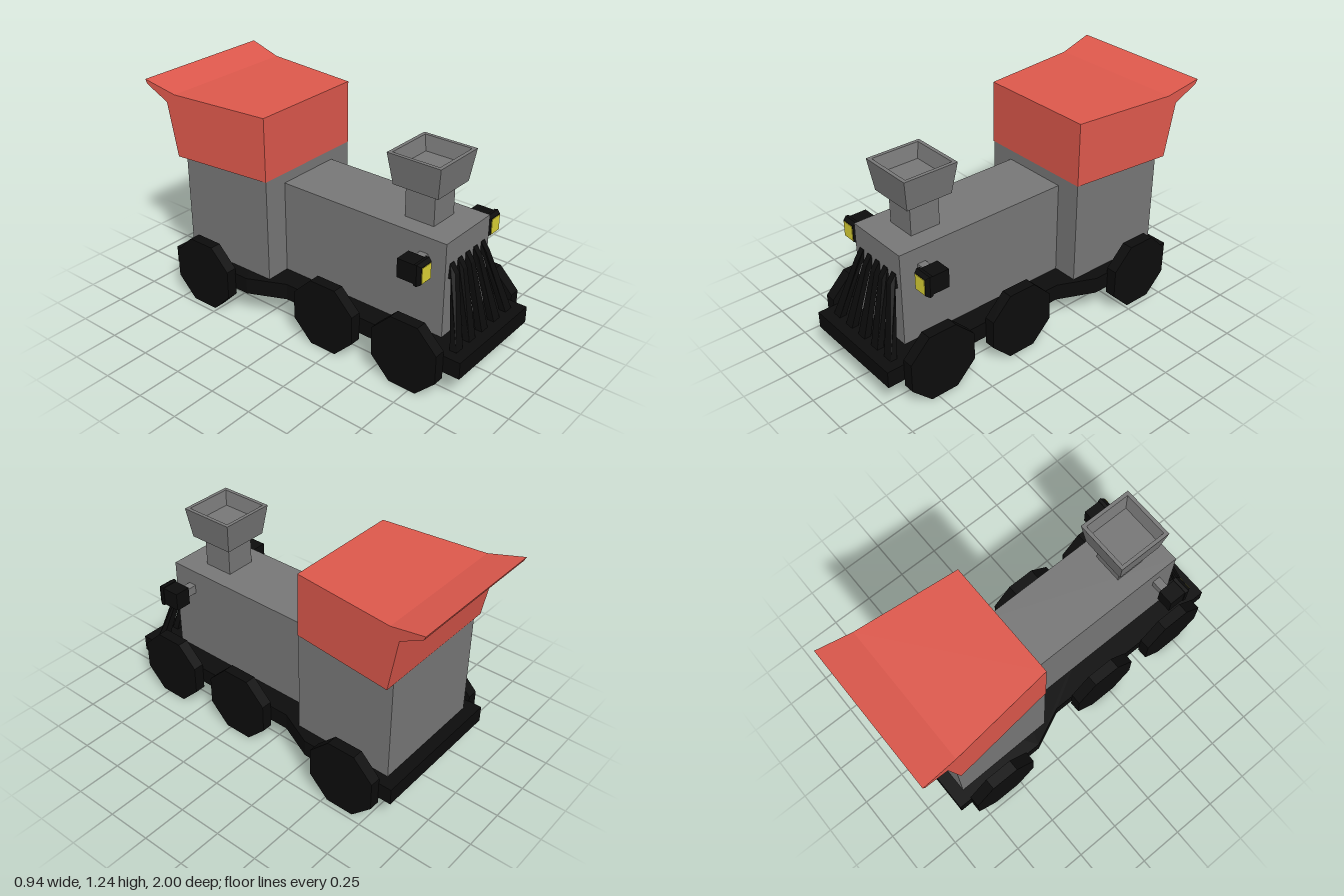
import * as THREE from 'three';

const paint = (color) => new THREE.MeshStandardMaterial({ color, flatShading: true, side: THREE.DoubleSide });

export function createModel() {
  const train = new THREE.Group();
  const grey = paint(0x777777), black = paint(0x0c0c0c), red = paint(0xdd584c), yellow = paint(0xdcd236);

  const add = (name, geometry, material, parent = train) => {
    const mesh = new THREE.Mesh(geometry, material);
    mesh.name = name;
    parent.add(mesh);
    return mesh;
  };
  // Box given by its min and max on each axis
  const box = (x0, x1, y0, y1, z0, z1) => new THREE.BoxGeometry(x1 - x0, y1 - y0, z1 - z0)
    .translate((x0 + x1) / 2, (y0 + y1) / 2, (z0 + z1) / 2);
  const shapeOf = (points) => new THREE.Shape(points.map(([x, y]) => new THREE.Vector2(x, y)));
  // Side profile of [z, y] points; rule(side, y, z) gives the x of each vertex, side being -1 or 1
  const sideProfile = (points, rule) => {
    const g = new THREE.ExtrudeGeometry(shapeOf(points), { depth: 2, bevelEnabled: false })
      .translate(0, 0, -1).rotateY(-Math.PI / 2);
    const p = g.attributes.position;
    for (let i = 0; i < p.count; i++) p.setX(i, rule(Math.sign(p.getX(i)), p.getY(i), p.getZ(i)));
    g.computeVertexNormals();
    return g;
  };
  // Square-sectioned lathe from [half width, y] points
  const squareLathe = (points) => new THREE.LatheGeometry(
    points.map(([r, y]) => new THREE.Vector2(r * Math.SQRT2, y)), 4).rotateY(Math.PI / 4);

  // Chassis plate, widening under the cab
  const halfPlan = [[0.315, -1], [0.315, 0.11], [0.41, 0.32], [0.41, 0.87]];
  const plan = [...halfPlan, ...halfPlan.map(([x, y]) => [-x, y]).reverse()];
  add('chassis', new THREE.ExtrudeGeometry(shapeOf(plan), { depth: 0.095, bevelEnabled: false })
    .rotateX(-Math.PI / 2).translate(0, 0.15, 0), black);

  // Boiler and cab
  add('boiler', box(-0.192, 0.192, 0.24, 0.775, -0.22, 0.81), grey);
  add('cab', sideProfile([[-0.217, 0.24], [-0.217, 0.85], [-0.8, 0.85], [-0.8, 0.24]],
    (s, y, z) => s * (z < -0.5 ? 0.343 : 0.335)), grey);

  // Roof flares out toward its raised rear lip
  add('roof', sideProfile([[-0.215, 0.832], [-0.215, 1.19], [-0.8, 1.19], [-1, 1.237],
    [-0.988, 1.212], [-0.857, 1.137], [-0.803, 0.832]],
    (s, y, z) => s * (0.338 + 0.104 * (-0.215 - z))), red);

  // Chimney with a hollow flared bowl
  add('chimney', squareLathe([[0.087, 0.77], [0.087, 0.93], [0.133, 0.955], [0.157, 1.128],
    [0.137, 1.128], [0.115, 1.05], [0, 1.05]]).translate(0, 0, 0.577), grey);

  // Cowcatcher bars: upright at the top, fanning out below the knee
  const cowcatcher = new THREE.Group();
  cowcatcher.name = 'cowcatcher';
  train.add(cowcatcher);
  const barProfile = [[0.8, 0.655], [0.812, 0.652], [0.845, 0.605], [0.942, 0.24],
    [0.903, 0.24], [0.823, 0.575], [0.8, 0.575]];
  for (let i = -2; i <= 2; i++) {
    add('cowcatcherBar', sideProfile(barProfile, (s, y) => {
      const t = Math.max(0, (0.605 - y) / 0.365);
      return i * (0.069 + 0.046 * t) + s * (0.0165 + 0.0115 * t);
    }), black, cowcatcher);
  }

  for (const side of [-1, 1]) {
    // Eight-sided wheels resting on a flat
    for (const [x, z] of [[0.348, 0.71], [0.348, 0.195], [0.438, -0.6]]) {
      const wheel = new THREE.CylinderGeometry(0.195 / Math.cos(Math.PI / 8),
        0.195 / Math.cos(Math.PI / 8), 0.063, 8).rotateY(Math.PI / 8).rotateZ(Math.PI / 2);
      add('wheel', wheel, black).position.set(side * x, 0.195, z);
    }

    // Headlamp on a bracket, with a bevelled rim around the lens
    const lamp = new THREE.Group();
    lamp.name = 'headlamp';
    lamp.position.set(side * 0.308, 0.66, 0);
    train.add(lamp);
    add('lampBracket', box(-0.025, 0.025, -0.025, 0.025, 0.66, 0.707), grey, lamp)
      .scale.x = 2.8;
    lamp.children[0].position.x = -side * 0.08;
    add('lampHousing', box(-0.046, 0.046, -0.052, 0.052, 0.64, 0.745), black, lamp);
    const rim = squareLathe([[0, 0.74], [0.05, 0.74], [0.052, 0.758], [0.041, 0.778], [0, 0.778]])
      .rotateX(Math.PI / 2).scale(1, 1.14, 1);
    add('lampRim', rim, black, lamp);
    add('lampLens', box(-0.037, 0.037, -0.043, 0.043, 0.76, 0.781), yellow, lamp);
  }
  return train;
}
